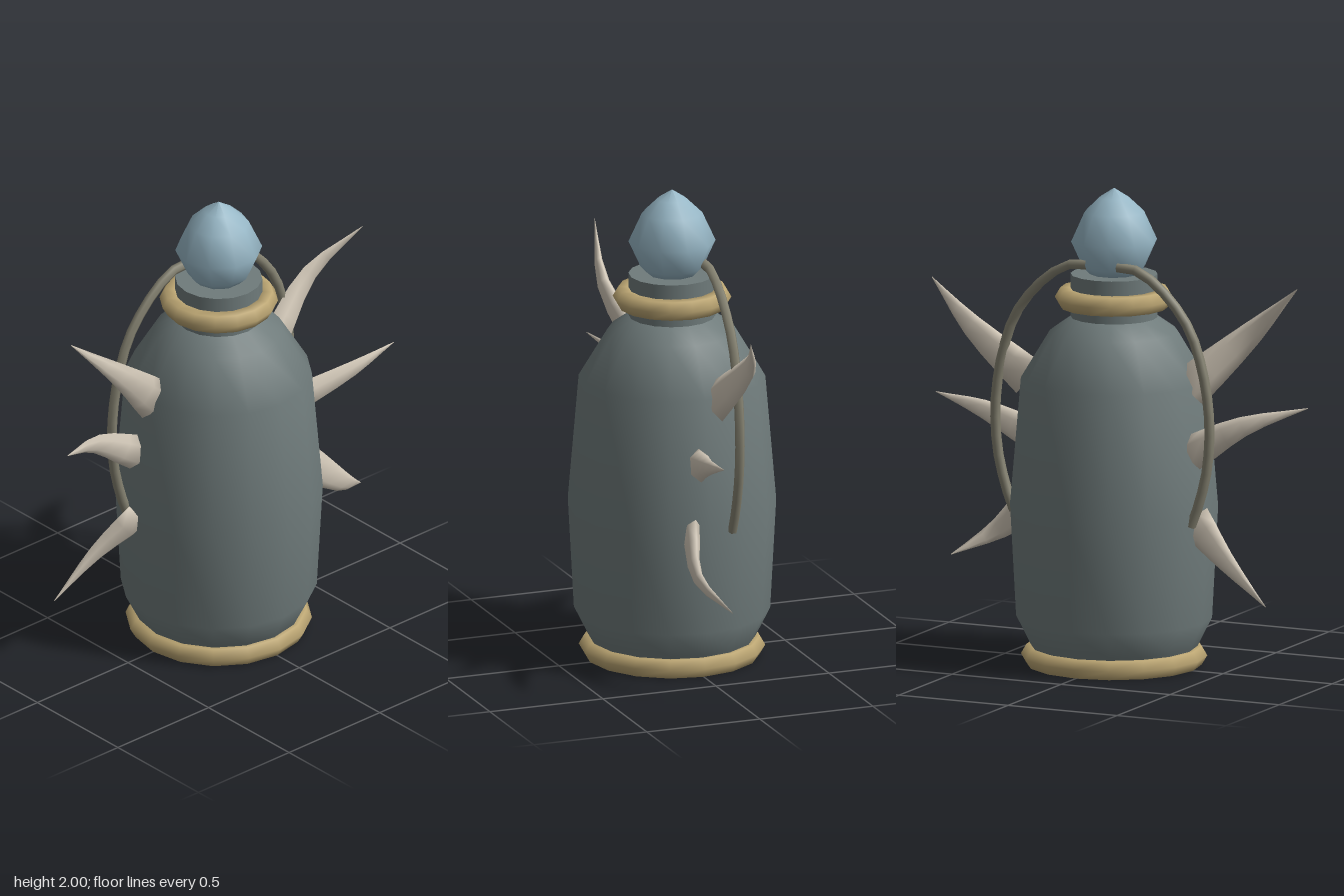
import * as THREE from 'three';

const mat = (name, color, side = THREE.FrontSide) => {
  const m = new THREE.MeshStandardMaterial({ color, side });
  m.name = name;
  return m;
};
const V = (x, y, z) => new THREE.Vector3(x, y, z);

// Tapered, bent thorn: oval rings lofted along a curve, closed by a base cap.
function thornGeometry(points, height, depth) {
  const curve = new THREE.CatmullRomCurve3(points.map((p) => V(...p)));
  const rings = 6, sides = 6, pos = [], idx = [];
  for (let i = 0; i <= rings; i++) {
    const t = i / rings, c = curve.getPoint(t), dir = curve.getTangent(t);
    const across = V(-dir.y, dir.x, 0).normalize();
    const flat = dir.clone().cross(across).normalize();
    const taper = Math.max(0.02, 1 - Math.pow(t, 1.15));
    for (let j = 0; j < sides; j++) {
      const a = (j / sides) * Math.PI * 2;
      const p = c.clone()
        .addScaledVector(across, Math.cos(a) * height * taper)
        .addScaledVector(flat, Math.sin(a) * depth * taper);
      pos.push(p.x, p.y, p.z);
    }
  }
  for (let i = 0; i < rings; i++) {
    for (let j = 0; j < sides; j++) {
      const a = i * sides + j, b = i * sides + (j + 1) % sides;
      idx.push(a, b, a + sides, b, b + sides, a + sides);
    }
  }
  for (let j = 1; j < sides - 1; j++) idx.push(0, j + 1, j);
  const g = new THREE.BufferGeometry();
  g.setAttribute('position', new THREE.Float32BufferAttribute(pos, 3));
  g.setIndex(idx);
  g.computeVertexNormals();
  return g;
}

export function createModel() {
  const group = new THREE.Group();
  const slate = mat('slate grey', 0x6f7b7b, THREE.DoubleSide);
  const brass = mat('dull brass', 0xbca673);
  const glass = mat('pale blue', 0x97b7c6);
  const bone = mat('bone', 0xd2c8b8, THREE.DoubleSide);
  const cord = mat('dark cord', 0x858271);

  const add = (name, geometry, material) => {
    const mesh = new THREE.Mesh(geometry, material);
    mesh.name = name;
    group.add(mesh);
    return mesh;
  };
  const lathe = (profile, sides) =>
    new THREE.LatheGeometry(profile.map(([r, y]) => new THREE.Vector2(r, y)), sides);

  // Vessel, open underneath, and its neck
  add('body', lathe([[0.32, 0.03], [0.35, 0.09], [0.405, 0.2], [0.43, 0.67],
    [0.385, 1.2], [0.265, 1.4], [0.18, 1.46]], 16), slate);
  add('neck', new THREE.CylinderGeometry(0.18, 0.18, 0.2, 16), slate).position.y = 1.54;

  // Rings around the foot and the neck
  for (const [name, radius, y] of [['footRing', 0.34, 0.04], ['neckRing', 0.2, 1.54]]) {
    const ring = add(name, new THREE.TorusGeometry(radius, 0.045, 6, 16), brass);
    ring.rotation.x = Math.PI / 2;
    ring.position.y = y;
  }

  // Pointed stopper
  add('stopper', lathe([[0, 1.64], [0.1, 1.64], [0.13, 1.67], [0.18, 1.78],
    [0.125, 1.9], [0.062, 1.96], [0, 2]], 10), glass).rotation.y = Math.PI / 2;

  // Looped handles, mirrored left and right
  for (const s of [1, -1]) {
    const path = [[0.07, 1.69], [0.15, 1.685], [0.26, 1.62], [0.39, 1.47], [0.455, 1.3],
      [0.49, 1.08], [0.48, 0.88], [0.44, 0.72], [0.405, 0.63]]
      .map(([x, y]) => V(s * x, y, -0.11));
    add(s > 0 ? 'leftHandle' : 'rightHandle',
      new THREE.TubeGeometry(new THREE.CatmullRomCurve3(path), 16, 0.021, 6), cord);
  }

  // Thorns: path from base to tip, half height, half depth
  const thorns = [
    ['leftUpperThorn', [[0.36, 1.18, -0.06], [0.6, 1.39, -0.11], [0.82, 1.56, -0.03]], 0.09, 0.04],
    ['leftMiddleThorn', [[0.39, 0.925, 0.03], [0.65, 1.0, 0.095], [0.87, 1.05, 0.108]], 0.072, 0.045],
    ['leftLowerThorn', [[0.4, 0.65, 0.07], [0.58, 0.5, 0.11], [0.76, 0.39, 0.025]], 0.08, 0.03],
    ['rightUpperThorn', [[-0.35, 1.19, -0.01], [-0.6, 1.43, 0.07], [-0.83, 1.64, 0.02]], 0.09, 0.04],
    ['rightMiddleThorn', [[-0.39, 0.93, -0.07], [-0.62, 1.06, -0.06], [-0.87, 1.14, 0.04]], 0.075, 0.04],
    ['rightLowerThorn', [[-0.4, 0.64, -0.05], [-0.57, 0.5, -0.12], [-0.77, 0.33, -0.155]], 0.08, 0.035],
  ];
  for (const [name, path, h, d] of thorns) add(name, thornGeometry(path, h, d), bone);

  return group;
}
